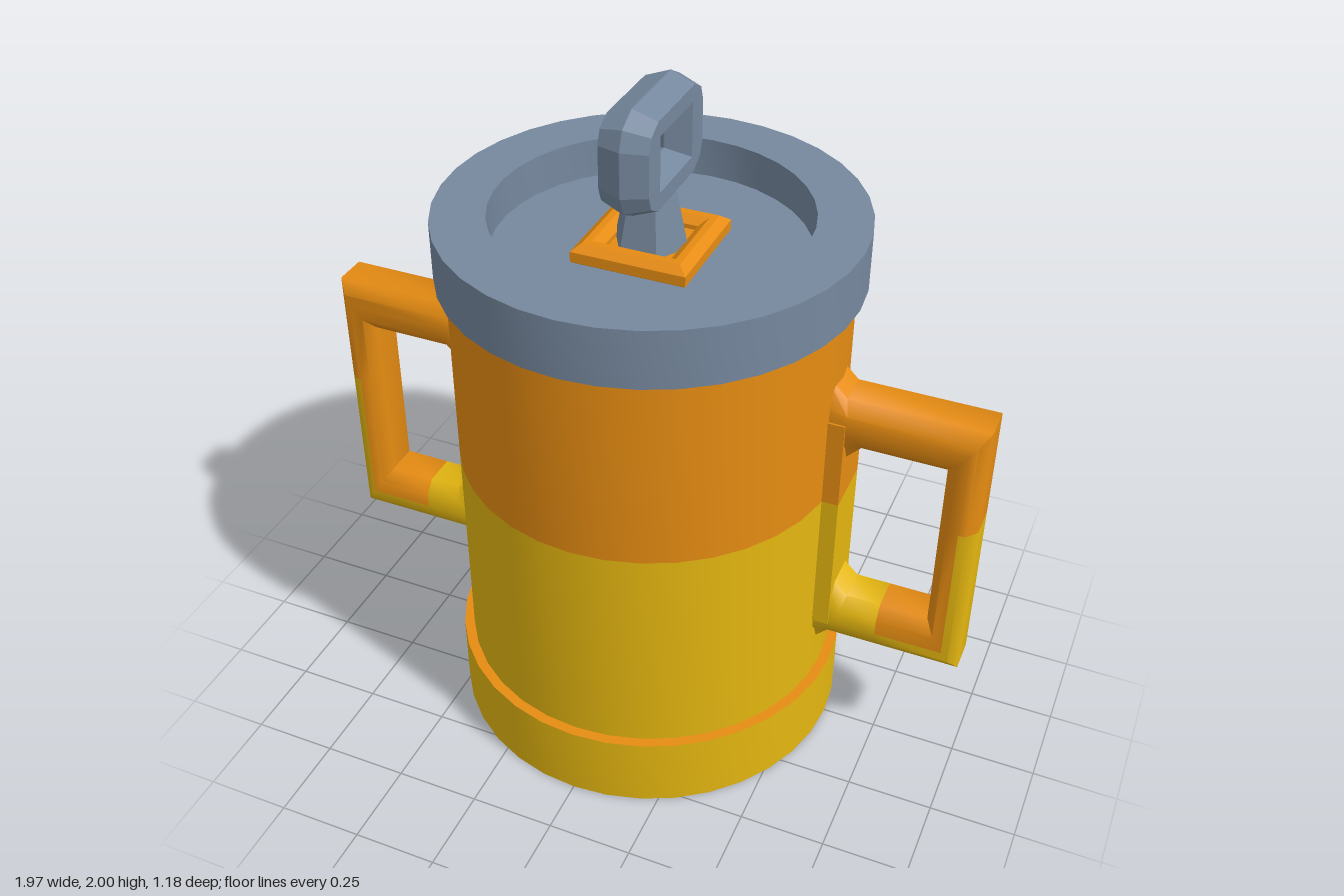
import * as THREE from 'three';
import { toCreasedNormals } from 'three/addons/utils/BufferGeometryUtils.js';

export function createModel() {
  const model = new THREE.Group();
  model.name = 'canister';
  const yellow = new THREE.MeshStandardMaterial({ name: 'yellow', color: 0xe4b610 });
  const orange = new THREE.MeshStandardMaterial({ name: 'orange', color: 0xe68c12 });
  const grey = new THREE.MeshStandardMaterial({ name: 'slate grey', color: 0x76889e });
  const blue = new THREE.MeshStandardMaterial({ name: 'dark blue', color: 0x4a5a8c });

  const add = (name, geometry, material, parent = model) => {
    const mesh = new THREE.Mesh(geometry, material);
    mesh.name = name;
    parent.add(mesh);
    return mesh;
  };
  const lathe = (name, material, points) => add(name, toCreasedNormals(
    new THREE.LatheGeometry(points.map(([r, y]) => new THREE.Vector2(r, y)), 36), 0.5), material);

  // Body, base and lid
  lathe('baseRing', yellow, [[0.44, 0], [0.59, 0], [0.59, 0.225]]);
  lathe('baseLedge', orange, [[0.59, 0.225], [0.555, 0.225]]);
  lathe('lowerBody', yellow, [[0.56, 0.22], [0.56, 0.9]]);
  lathe('upperBody', orange, [[0.56, 0.9], [0.56, 1.49]]);
  lathe('lid', grey, [[0.55, 1.485], [0.59, 1.485], [0.59, 1.655], [0.44, 1.655], [0.44, 1.54], [0, 1.54]]);
  lathe('liner', blue, [[0, 1.48], [0.44, 1.48], [0.44, 0]]);

  // Grille and shaft inside the open bottom
  for (let i = 0; i < 4; i++) {
    const spoke = add('grilleSpoke', new THREE.BoxGeometry(0.86, 0.04, 0.055), grey);
    spoke.position.y = 0.07;
    spoke.rotation.y = i * Math.PI / 4 + 0.08;
  }
  add('shaft', new THREE.CylinderGeometry(0.07, 0.07, 1.42, 12), grey).position.y = 0.78;

  // Handles: a bevelled section swept along a mitred C; t runs from outer edge to inner edge
  const section = [[0, -0.05], [0, 0.05], [0.25, 0.082], [0.45, 0.085], [0.75, 0.082], [1, 0.05],
    [1, -0.05], [0.75, -0.082], [0.45, -0.085], [0.25, -0.082]];
  const stations = [ // outer x, y, inner x, y
    [0.52, 1.305, 0.52, 0.96], [0.59, 1.235, 0.64, 1.085], [0.985, 1.235, 0.88, 1.085],
    [0.985, 0.9, 0.88, 0.9], [0.985, 0.39, 0.88, 0.545], [0.74, 0.39, 0.74, 0.545],
    [0.59, 0.39, 0.64, 0.545], [0.52, 0.32, 0.52, 0.665]];
  const point = (s, [t, z]) => [s[0] + (s[2] - s[0]) * t, s[1] + (s[3] - s[1]) * t, z];
  const isYellow = (i, outer) => i >= 5 || (i >= 3 && outer);
  const sweep = (wantYellow) => {
    const verts = [];
    for (let i = 0; i < stations.length - 1; i++) {
      section.forEach((p, j) => {
        const q = section[(j + 1) % section.length];
        if (isYellow(i, p[0] <= 0.45 && q[0] <= 0.45) !== wantYellow) return;
        const a = point(stations[i], p), b = point(stations[i + 1], p);
        const c = point(stations[i + 1], q), d = point(stations[i], q);
        verts.push(...a, ...d, ...c, ...a, ...c, ...b);
      });
    }
    const g = new THREE.BufferGeometry();
    g.setAttribute('position', new THREE.Float32BufferAttribute(verts, 3));
    return toCreasedNormals(g, 0.9);
  };
  const handleUpper = sweep(false), handleLower = sweep(true);
  for (const side of ['left', 'right']) {
    const handle = new THREE.Group();
    handle.name = side + 'Handle';
    add('handleOrangePart', handleUpper, orange, handle);
    add('handleYellowPart', handleLower, yellow, handle);
    // Mounting strip along the body
    add('upperStrip', new THREE.BoxGeometry(0.1, 0.27, 0.18), orange, handle).position.set(0.55, 1.035, 0);
    add('lowerStrip', new THREE.BoxGeometry(0.1, 0.45, 0.18), yellow, handle).position.set(0.55, 0.675, 0);
    if (side === 'right') handle.rotation.y = Math.PI;
    model.add(handle);
  }

  // Square bevelled collar in the lid recess
  const rect = (w, y0, y1, Type) => {
    const s = new Type();
    s.moveTo(-w, y0).lineTo(w, y0).lineTo(w, y1).lineTo(-w, y1).closePath();
    return s;
  };
  const collarShape = rect(0.14, -0.14, 0.14, THREE.Shape);
  collarShape.holes.push(rect(0.12, -0.12, 0.12, THREE.Path));
  const collar = add('collar', new THREE.ExtrudeGeometry(collarShape, {
    depth: 0.03, bevelThickness: 0.02, bevelSize: 0.025, bevelSegments: 1 }), orange);
  collar.rotation.x = -Math.PI / 2;
  collar.position.y = 1.545;
  add('collarFloor', new THREE.BoxGeometry(0.25, 0.02, 0.25), orange).position.y = 1.552;

  // Flared stem and ring pull
  const stem = new THREE.CylinderGeometry(0.068, 0.11, 0.2, 6).toNonIndexed();
  stem.rotateY(Math.PI / 2);
  stem.computeVertexNormals();
  add('pullStem', stem, grey).position.y = 1.645;

  const ring = new THREE.Shape();
  [[-0.12, 1.725], [0.12, 1.725], [0.165, 1.75], [0.18, 1.79], [0.18, 1.91], [0.165, 1.95], [0.12, 1.975],
    [-0.12, 1.975], [-0.165, 1.95], [-0.18, 1.91], [-0.18, 1.79], [-0.165, 1.75]]
    .forEach(([x, y], i) => (i ? ring.lineTo(x, y) : ring.moveTo(x, y)));
  ring.closePath();
  ring.holes.push(rect(0.108, 1.772, 1.93, THREE.Path));
  const pull = new THREE.ExtrudeGeometry(ring, {
    depth: 0.002, bevelThickness: 0.069, bevelSize: 0.025, bevelSegments: 1 });
  pull.translate(0, 0, -0.001);
  pull.rotateY(Math.PI / 2);
  add('ringPull', pull, grey);

  return model;
}
